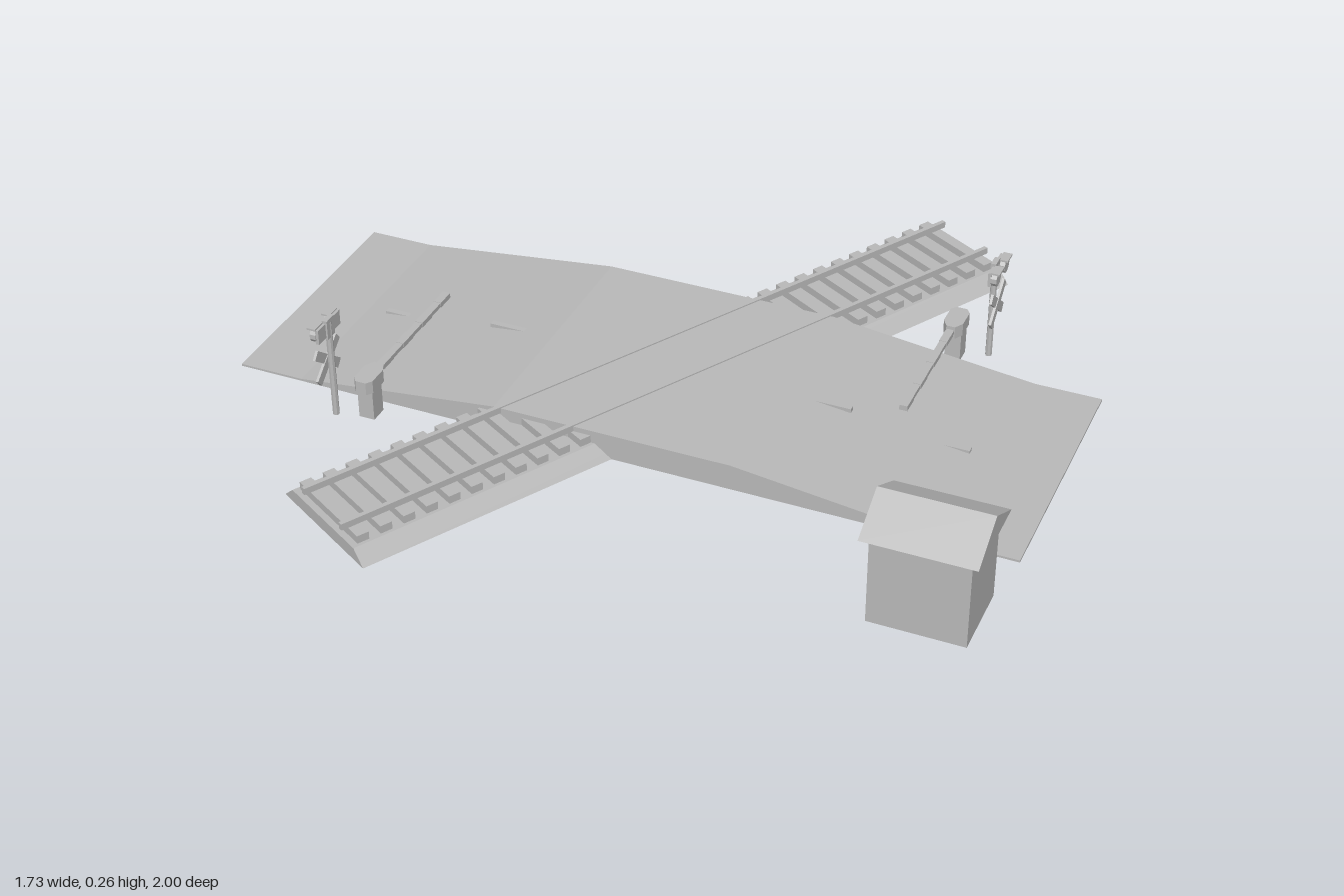
import * as THREE from 'three';

export function createModel() {
  const grey = new THREE.MeshStandardMaterial({ color: 0xb8b8b8 });
  grey.name = 'plain grey';
  grey.flatShading = true;

  const add = (parent, name, geometry, x = 0, y = 0, z = 0) => {
    const mesh = new THREE.Mesh(geometry, grey);
    mesh.name = name;
    mesh.position.set(x, y, z);
    parent.add(mesh);
    return mesh;
  };
  const box = (parent, name, w, h, d, x, y, z) =>
    add(parent, name, new THREE.BoxGeometry(w, h, d), x, y, z);
  // Prism of a 2D outline, centred along its depth
  const prism = (points, depth) => new THREE.ExtrudeGeometry(
    new THREE.Shape(points.map(([x, y]) => new THREE.Vector2(x, y))),
    { depth, bevelEnabled: false }).translate(0, 0, -depth / 2);

  const model = new THREE.Group();
  model.name = 'levelCrossing';
  const site = new THREE.Group();
  site.name = 'site';
  site.position.z = -0.08;
  model.add(site);

  // Railway: embankment, sleepers and two rails
  const track = new THREE.Group();
  track.name = 'track';
  site.add(track);
  add(track, 'embankment', prism([[-0.153, 0], [0.153, 0], [0.12, 0.03], [-0.12, 0.03]], 1.73).rotateY(Math.PI / 2));
  for (let i = 0; i < 32; i++) {
    box(track, 'sleeper', 0.027, 0.02, 0.225, (i - 15.5) * 0.054, 0.038, 0);
  }
  for (const s of [-1, 1]) {
    box(track, 'rail', 1.73, 0.015, 0.01, 0, 0.0555, s * 0.073);
  }

  // Everything belonging to the road is turned with it
  const road = new THREE.Group();
  road.name = 'road';
  road.rotation.y = Math.PI / 6;
  site.add(road);
  add(road, 'roadRamp', prism([
    [-0.89, 0], [0.89, 0], [0.89, 0.005], [0.74, 0.005], [0.27, 0.06],
    [-0.27, 0.06], [-0.74, 0.005], [-0.89, 0.005],
  ], 0.605).rotateY(Math.PI / 2));

  // Barrier, signal and lane dashes, repeated on the far side by a half turn
  for (const turn of [0, Math.PI]) {
    const side = new THREE.Group();
    side.name = 'crossingSide';
    side.rotation.y = turn;
    road.add(side);

    box(side, 'laneDash', 0.014, 0.012, 0.135, 0, 0.0455, 0.3575);
    box(side, 'laneDash', 0.014, 0.012, 0.135, 0, 0.0115, 0.6225);

    const barrier = new THREE.Group();
    barrier.name = 'barrier';
    barrier.position.set(0.35, 0, 0.541);
    side.add(barrier);
    box(barrier, 'barrierColumn', 0.04, 0.075, 0.036, 0, 0.0375, 0);
    add(barrier, 'barrierHead', prism([
      [-0.045, -0.01], [-0.025, -0.022], [0.022, -0.022], [0.035, -0.012],
      [0.035, 0.012], [0.022, 0.022], [-0.025, 0.022], [-0.045, 0.01],
    ], 0.03).rotateX(-Math.PI / 2), 0, 0.087, 0);
    box(barrier, 'barrierArm', 0.33, 0.01, 0.016, -0.195, 0.089, 0);
    for (let i = 0; i < 4; i++) {
      box(barrier, 'armBand', 0.044, 0.012, 0.018, -0.338 + i * 0.088, 0.089, 0);
    }

    const signal = new THREE.Group();
    signal.name = 'signal';
    signal.position.set(0.38, 0, 0.61);
    side.add(signal);
    add(signal, 'signalPost', new THREE.CylinderGeometry(0.0075, 0.0075, 0.235, 8), 0, 0.1175, 0);
    for (const s of [-1, 1]) {
      box(signal, 'crossArm', 0.112, 0.022, 0.006, 0, 0.137, 0.01 + s * 0.001).rotation.z = s * 0.68;
      add(signal, 'lamp', new THREE.CylinderGeometry(0.018, 0.018, 0.014, 10).rotateX(Math.PI / 2),
        s * 0.03, 0.221, 0.011);
      box(signal, 'lampHood', 0.034, 0.004, 0.02, s * 0.03, 0.239, 0.014);
    }
    box(signal, 'lampBoard', 0.09, 0.034, 0.008, 0, 0.221, 0.002);
    box(signal, 'signalCap', 0.03, 0.045, 0.012, 0, 0.222, 0);
  }

  // Keeper's hut with a gable roof, door and window
  const hut = new THREE.Group();
  hut.name = 'hut';
  hut.position.set(-0.506, 0, 0.77);
  road.add(hut);
  box(hut, 'hutWalls', 0.17, 0.205, 0.205, 0, 0.1025, 0);
  add(hut, 'hutRoof', prism([[-0.103, 0.203], [0.103, 0.203], [0, 0.26]], 0.238));
  box(hut, 'hutDoor', 0.008, 0.17, 0.07, 0.085, 0.085, -0.043);
  box(hut, 'hutWindow', 0.008, 0.045, 0.046, 0.085, 0.128, 0.053);

  return model;
}
